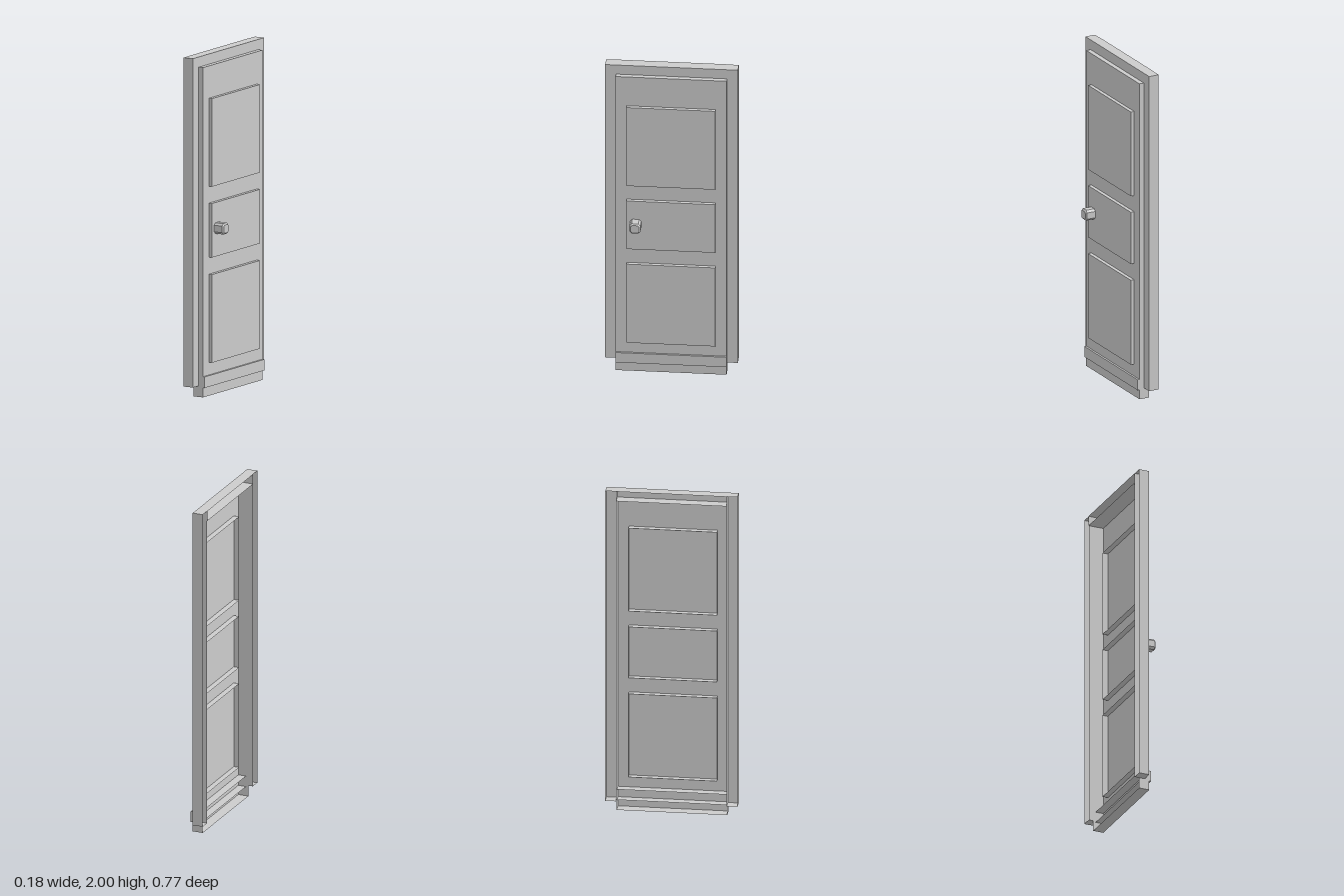
import * as THREE from 'three';

const material = new THREE.MeshStandardMaterial({ color: 0xcccccc, flatShading: true, side: THREE.DoubleSide });

// Box between two limits per axis, left open at the wall side (-x)
function openBox(name, [x0, x1], [y0, y1], [z0, z1]) {
  const geometry = new THREE.BoxGeometry(x1 - x0, y1 - y0, z1 - z0);
  const index = Array.from(geometry.index.array);
  index.splice(6, 6); // drop the -x face
  geometry.setIndex(index);
  geometry.clearGroups();
  geometry.translate((x0 + x1) / 2, (y0 + y1) / 2, (z0 + z1) / 2);
  const mesh = new THREE.Mesh(geometry, material);
  mesh.name = name;
  return mesh;
}

// Square knob with chamfered edges, pointing along +x
function createKnob() {
  const h = 0.024, c = 0.016, bevel = 0.008;
  const shape = new THREE.Shape([
    [h, -c], [h, c], [c, h], [-c, h], [-h, c], [-h, -c], [-c, -h], [c, -h],
  ].map(([x, y]) => new THREE.Vector2(x, y)));
  const geometry = new THREE.ExtrudeGeometry(shape, {
    depth: 0.055, bevelEnabled: true, bevelSegments: 1, bevelSize: bevel, bevelThickness: bevel,
  });
  geometry.rotateY(Math.PI / 2);
  const knob = new THREE.Mesh(geometry, material);
  knob.name = 'knob';
  knob.position.set(0.025, 0.982, 0.203);
  return knob;
}

export function createModel() {
  const door = new THREE.Group();
  door.name = 'door';

  // Surround: two jambs and a header
  const frame = new THREE.Group();
  frame.name = 'frame';
  frame.add(
    openBox('jambFront', [-0.088, -0.025], [0.065, 2], [0.322, 0.385]),
    openBox('jambBack', [-0.088, -0.025], [0.065, 2], [-0.385, -0.322]),
    openBox('header', [-0.09, -0.025], [1.94, 2], [-0.322, 0.322]),
  );
  door.add(frame);

  // Door leaf and the strip along its foot
  door.add(openBox('leaf', [-0.06, 0.004], [0, 1.94], [-0.322, 0.322]));
  door.add(openBox('kickStrip', [-0.045, 0.016], [0.057, 0.122], [-0.322, 0.322]));

  // Three raised panels, bottom to top
  const panels = [[0.196, 0.715], [0.815, 1.133], [1.232, 1.75]];
  panels.forEach((span, i) => door.add(openBox(`panel${i + 1}`, [-0.03, 0.026], span, [-0.258, 0.258])));

  door.add(createKnob());
  return door;
}
